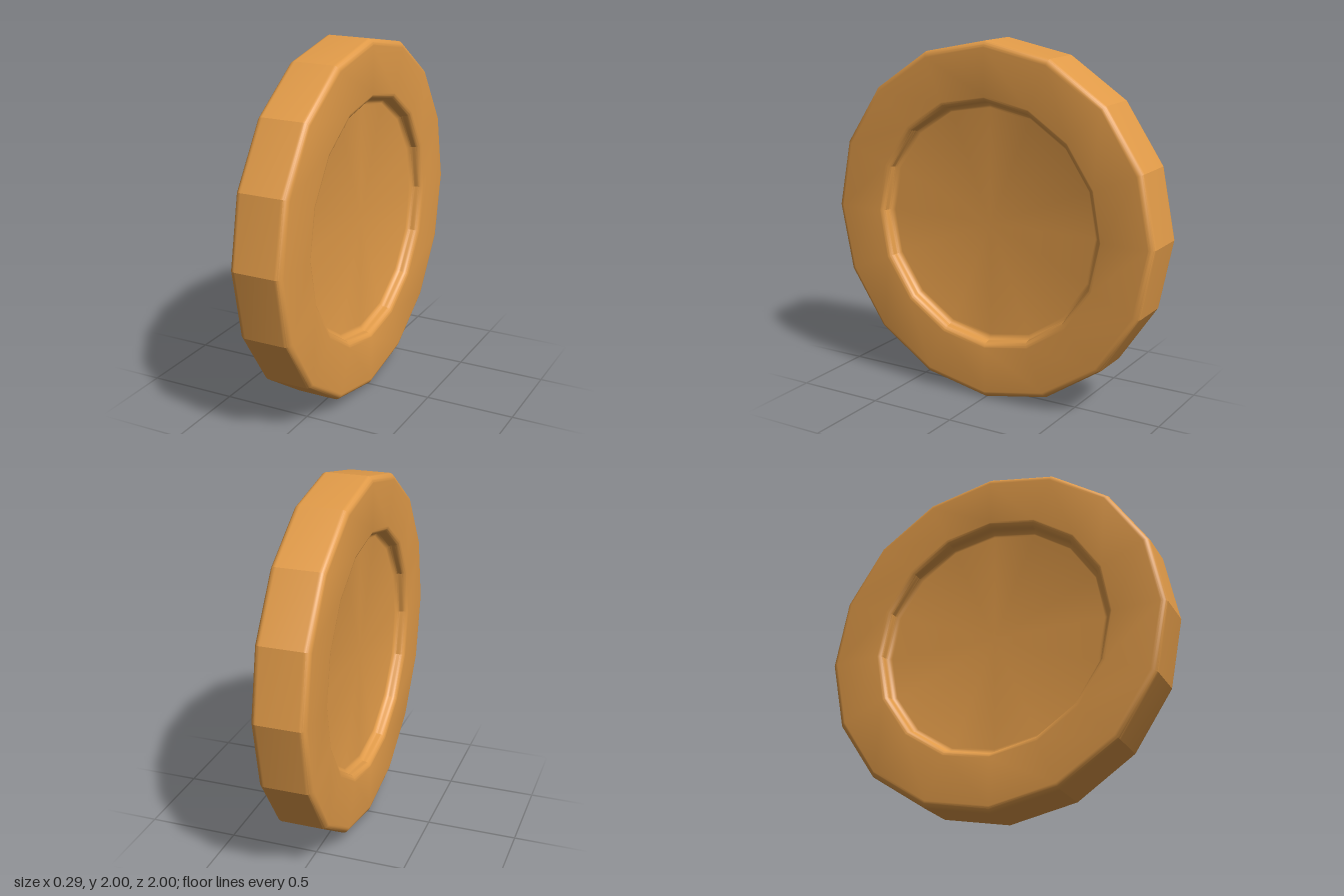
import * as THREE from 'three';
import { toCreasedNormals } from 'three/addons/utils/BufferGeometryUtils.js';

const SIDES = 16;
const HALF = 0.145;    // half thickness
const BEVEL = 0.035;   // rounding of the outer edge
const LIP = 0.71;      // where the raised border starts to drop
const STEP = 0.035;    // radius of each half of the S-shaped step

// Quarter-circle points around (cx, cy) from angle a to angle b
function arc(cx, cy, r, a, b, n = 8) {
  return Array.from({ length: n + 1 }, (_, i) => {
    const t = a + ((b - a) * i) / n;
    return new THREE.Vector2(cx + r * Math.cos(t), cy + r * Math.sin(t));
  });
}

export function createModel() {
  const group = new THREE.Group();
  group.name = 'coin';
  const material = new THREE.MeshStandardMaterial({ color: 0xe09a48 });
  const q = Math.PI / 2;

  // Half profile from the rim to the centre of one face
  const half = [
    ...arc(1 - BEVEL, HALF - BEVEL, BEVEL, 0, q),                    // outer edge
    ...arc(LIP, HALF - STEP, STEP, q, 2 * q),                        // lip of the recess
    ...arc(LIP - 2 * STEP, HALF - STEP, STEP, 0, -q).slice(1),       // foot of the recess
    new THREE.Vector2(0, HALF - 2 * STEP),                           // sunken centre
  ];

  // Mirror it to the other face and turn it around the axis
  const mirrored = half.map((p) => new THREE.Vector2(p.x, -p.y)).reverse();
  const lathe = new THREE.LatheGeometry([...mirrored, ...half], SIDES);
  lathe.deleteAttribute('normal');
  lathe.deleteAttribute('uv');
  const geometry = toCreasedNormals(lathe, THREE.MathUtils.degToRad(20));

  // Stand the disc on its edge, faces towards the sides
  geometry.rotateZ(q);
  geometry.translate(0, 1, 0);

  const disc = new THREE.Mesh(geometry, material);
  disc.name = 'disc';
  group.add(disc);
  return group;
}
